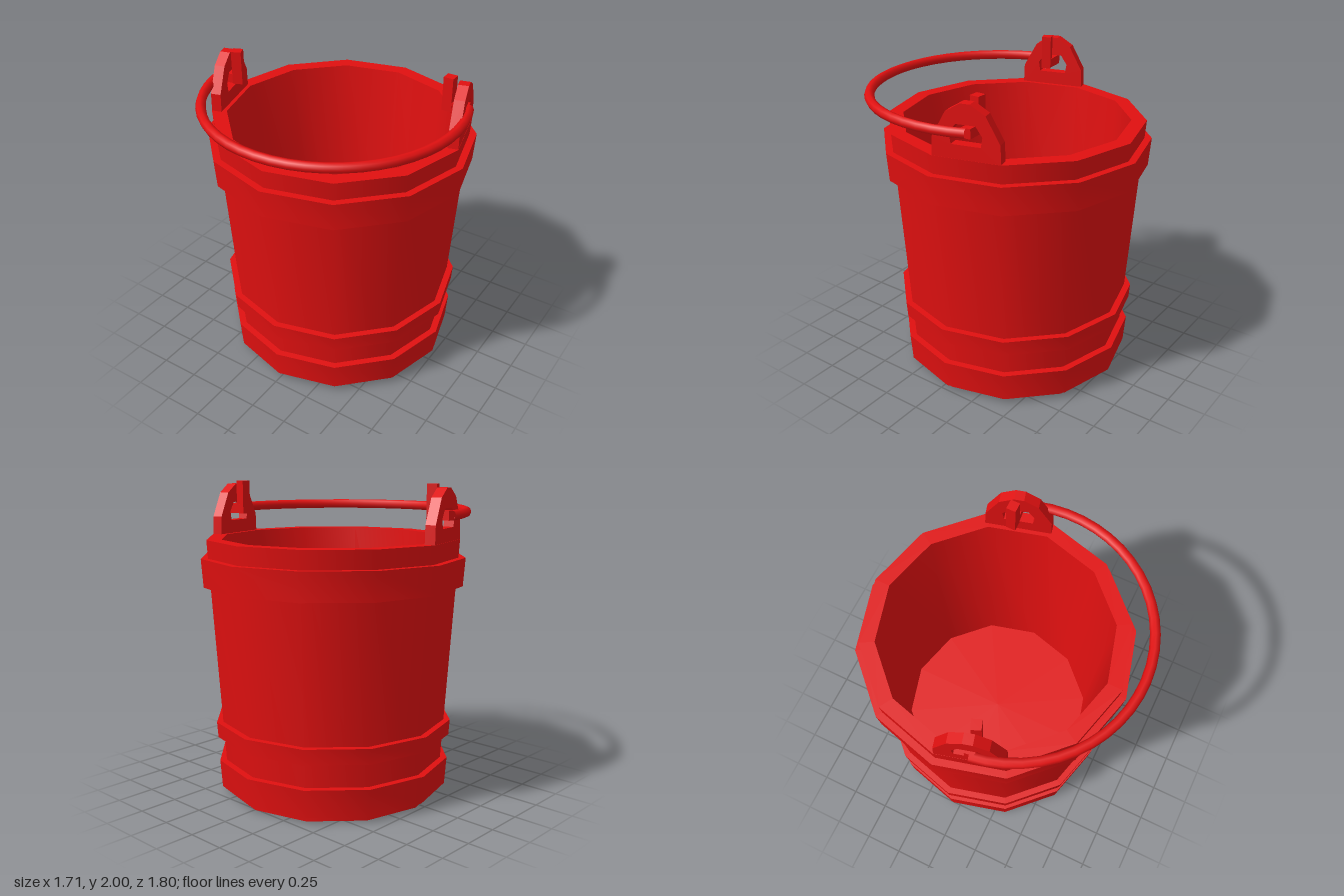
import * as THREE from 'three';
import { toCreasedNormals } from 'three/addons/utils/BufferGeometryUtils.js';

const red = new THREE.MeshStandardMaterial({ color: 0xe01010 });
const v2 = (pts) => pts.map(([x, y]) => new THREE.Vector2(x, y));

function add(parent, name, geometry) {
  const mesh = new THREE.Mesh(geometry, red);
  mesh.name = name;
  parent.add(mesh);
  return mesh;
}

// Twelve-sided turned part: smooth around, sharp at the profile corners
const turned = (pts) => toCreasedNormals(new THREE.LatheGeometry(v2(pts), 12), 0.75);

// Pierced lug standing on one side of the rim, outer face on local z = 0
function earGeometry() {
  const shape = new THREE.Shape(v2([
    [-0.21, 1.64], [0.21, 1.64], [0.205, 1.77], [0.12, 1.925],
    [0.03, 1.98], [-0.03, 1.98], [-0.12, 1.925], [-0.205, 1.77],
  ]));
  shape.holes.push(new THREE.Path(v2([
    [-0.09, 1.74], [-0.1, 1.8], [-0.06, 1.86], [0.06, 1.86], [0.1, 1.8], [0.09, 1.74],
  ])));
  const g = new THREE.ExtrudeGeometry(shape, { depth: 0.065, bevelEnabled: false });
  return g.translate(0, 0, -0.065);
}

// Square bar between two floor points at handle height
function barBetween(parent, name, a, b, y) {
  const dx = b[0] - a[0], dz = b[1] - a[1];
  const bar = add(parent, name, new THREE.BoxGeometry(Math.hypot(dx, dz), 0.06, 0.06));
  bar.position.set((a[0] + b[0]) / 2, y, (a[1] + b[1]) / 2);
  bar.rotation.y = -Math.atan2(dz, dx);
}

export function createModel() {
  const model = new THREE.Group();
  model.name = 'bucket';

  // Tapered vessel with hoops
  const vessel = new THREE.Group();
  vessel.name = 'vessel';
  vessel.position.set(-0.005, 0, -0.05);
  model.add(vessel);
  add(vessel, 'body', turned([
    [0, 0], [0.71, 0], [0.815, 1.655], [0.72, 1.655], [0.637, 0.3], [0, 0.3],
  ]));
  const hoops = [
    ['bottomHoop', 0.04, 0.22, 0.755, 0.768],
    ['lowerHoop', 0.38, 0.48, 0.775, 0.782],
    ['upperHoop', 1.36, 1.54, 0.84, 0.853],
  ];
  for (const [name, y0, y1, r0, r1] of hoops) {
    add(vessel, name, turned([[r0 - 0.06, y0], [r0, y0], [r1, y1], [r1 - 0.06, y1]]));
  }

  // Two opposite ears
  for (const [name, angle] of [['rightEar', -75], ['leftEar', 105]]) {
    const t = THREE.MathUtils.degToRad(angle);
    const ear = add(vessel, name, earGeometry());
    ear.rotation.y = t;
    ear.position.set(Math.sin(t) * 0.786, 0, Math.cos(t) * 0.786);
  }

  // Swung-down handle, an arc lying level in front
  const handle = new THREE.Group();
  handle.name = 'handle';
  model.add(handle);
  const y = 1.815, cx = 0.02, cz = 0.06, r = 0.805;
  const start = Math.atan2(-0.32, 0.74), end = Math.PI - 0.13;
  const pts = [];
  for (let i = 0; i <= 24; i++) {
    const a = start + ((end - start) * i) / 24;
    pts.push(new THREE.Vector3(cx + r * Math.cos(a), y, cz + r * Math.sin(a)));
  }
  add(handle, 'handleArc', new THREE.TubeGeometry(new THREE.CatmullRomCurve3(pts), 28, 0.031, 8));

  // Ends pass through the ears and turn up inside
  const ends = [
    ['leftEnd', pts[0], [0.632, -0.247], 0],
    ['rightEnd', pts[24], [-0.648, 0.15], 0.4],
  ];
  for (const [name, p, [x, z], turn] of ends) {
    barBetween(handle, name + 'Bar', [p.x, p.z], [x, z], y);
    const peg = add(handle, name + 'Peg', new THREE.BoxGeometry(0.063, 0.215, 0.06));
    peg.position.set(x, 1.8925, z);
    peg.rotation.y = turn;
  }
  return model;
}
